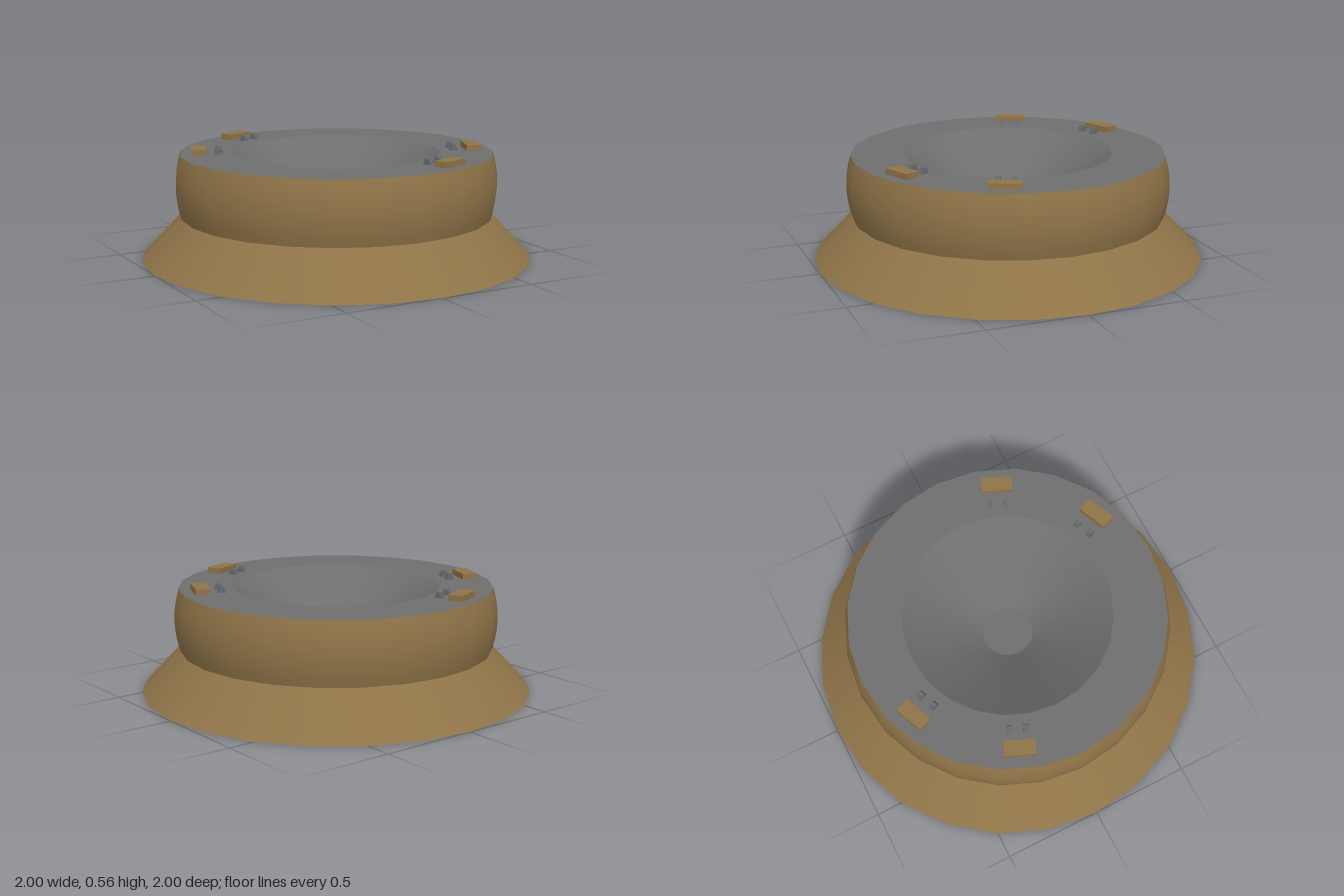
import * as THREE from 'three';

const SIDES = 24;
const TOP = 0.535;

function material(name, color, side = THREE.FrontSide) {
  const m = new THREE.MeshStandardMaterial({ color, side });
  m.name = name;
  return m;
}

export function createModel() {
  const model = new THREE.Group();
  model.name = 'bowlPlatform';
  const brown = material('brown', 0x8f7448, THREE.DoubleSide);
  const grey = material('grey', 0x6e6e6e, THREE.DoubleSide);
  const slate = material('slate', 0x666a6e);

  function add(parent, name, geometry, mat, x = 0, y = 0, z = 0) {
    const mesh = new THREE.Mesh(geometry, mat);
    mesh.name = name;
    mesh.position.set(x, y, z);
    parent.add(mesh);
    return mesh;
  }

  // Open shell turned from a profile of [radius, height] points
  function turned(name, profile, mat) {
    const points = profile.map(([r, y]) => new THREE.Vector2(r, y));
    add(model, name, new THREE.LatheGeometry(points, SIDES), mat);
  }

  // Flared skirt and bulging wall, open underneath
  turned('skirt', [[1, 0], [0.8, 0.215]], brown);
  const wall = [];
  for (let i = 0; i <= 8; i++) {
    const t = i / 8;
    wall.push([0.8 + 0.1 * t * (1 - t), 0.215 + (TOP - 0.215) * t]);
  }
  turned('wall', wall, brown);

  // Flat deck with a conical bowl sunk in the middle
  turned('deck', [[0.8, TOP], [0.53, TOP]], grey);
  turned('bowl', [[0.53, TOP], [0.13, 0.267]], grey);
  turned('bowlFloor', [[0.13, 0.267], [0, 0.267]], grey);

  // Small seat: a wedge-sided block, narrower at the top
  const seatShape = new THREE.Shape([
    new THREE.Vector2(-0.022, 0), new THREE.Vector2(0.022, 0),
    new THREE.Vector2(0.01, 0.03), new THREE.Vector2(-0.01, 0.03),
  ]);
  const seatGeometry = new THREE.ExtrudeGeometry(seatShape, { depth: 0.028, bevelEnabled: false });
  seatGeometry.translate(0, 0, -0.014);
  seatGeometry.rotateY(Math.PI / 2);
  const consoleGeometry = new THREE.BoxGeometry(0.156, 0.03, 0.075);

  // Four stations around the rim, each a console with two seats
  for (const degrees of [22.5, 67.5, 202.5, 247.5]) {
    const station = new THREE.Group();
    station.name = 'station';
    station.rotation.y = THREE.MathUtils.degToRad(90 - degrees);
    add(station, 'console', consoleGeometry, brown, 0, TOP + 0.015, 0.7);
    for (const side of [-1, 1]) {
      add(station, 'seat', seatGeometry, slate, side * 0.04, TOP, 0.6);
    }
    model.add(station);
  }
  return model;
}
